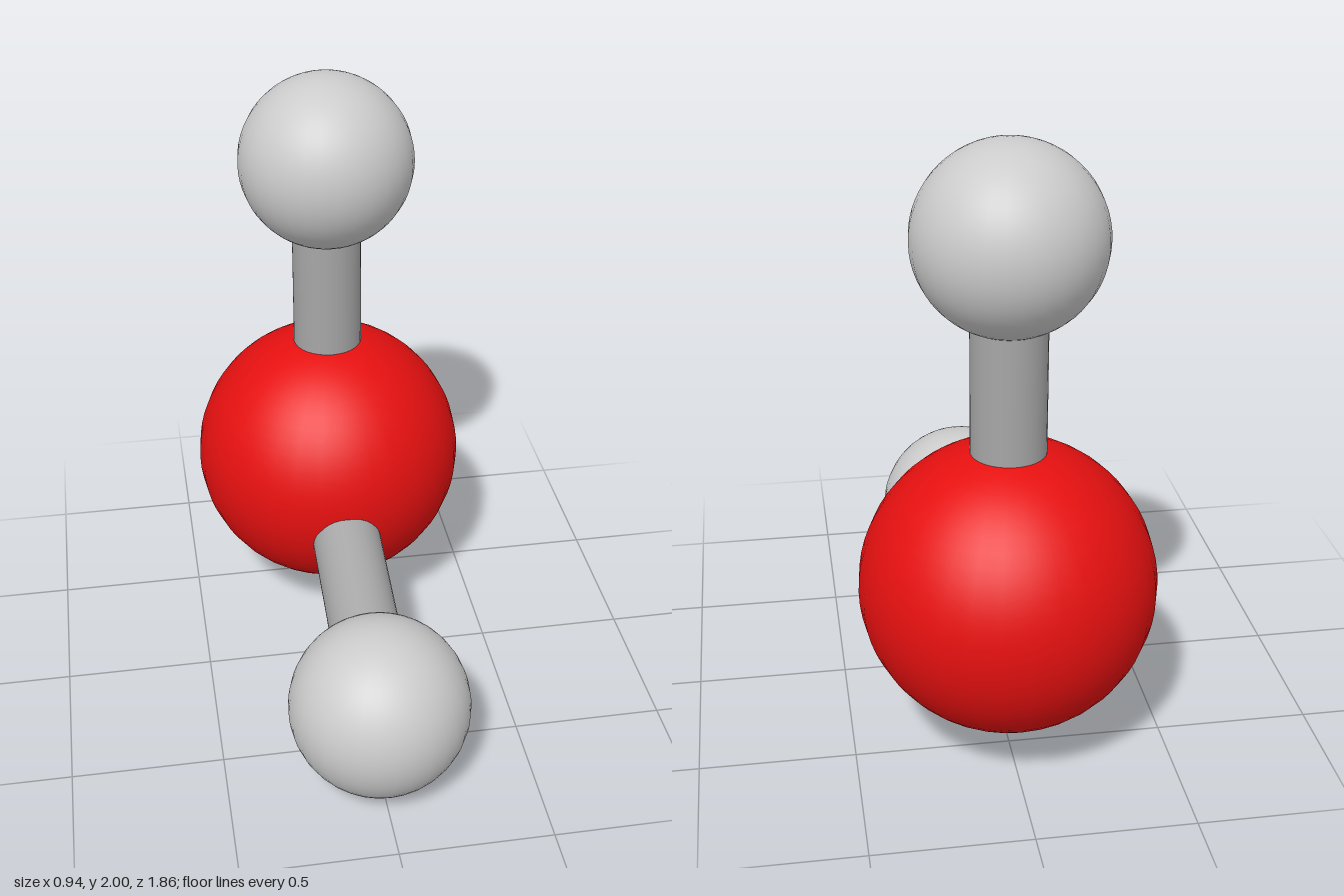
import * as THREE from 'three';

const BOND_LENGTH = 1.13;
const BOND_RADIUS = 0.118;
const BOND_ANGLE = THREE.MathUtils.degToRad(104.5);
const LARGE_RADIUS = 0.47;
const SMALL_RADIUS = 0.294;

function material(color) {
  return new THREE.MeshStandardMaterial({ color });
}

function atom(name, radius, position, mat) {
  const mesh = new THREE.Mesh(new THREE.SphereGeometry(radius, 32, 32), mat);
  mesh.name = name;
  mesh.position.copy(position);
  return mesh;
}

// Straight rod running between two atom centres
function bond(name, from, to, mat) {
  const direction = to.clone().sub(from);
  const geometry = new THREE.CylinderGeometry(BOND_RADIUS, BOND_RADIUS, direction.length(), 32);
  const mesh = new THREE.Mesh(geometry, mat);
  mesh.name = name;
  mesh.position.copy(from).lerp(to, 0.5);
  mesh.quaternion.setFromUnitVectors(new THREE.Vector3(0, 1, 0), direction.normalize());
  return mesh;
}

export function createModel() {
  const model = new THREE.Group();
  model.name = 'bentMolecule';

  const red = material(0xe61010);
  const lightGrey = material(0xcccccc);
  const darkGrey = material(0xa6a6a6);

  // Large central atom
  const centre = new THREE.Vector3(0, 0.577, -0.458);
  model.add(atom('centralAtom', LARGE_RADIUS, centre, red));

  // Two small atoms on rods: one straight up, one bent toward the front
  const arms = [['upper', 0], ['front', BOND_ANGLE]];
  for (const [name, angle] of arms) {
    const end = new THREE.Vector3(0, Math.cos(angle), Math.sin(angle))
      .multiplyScalar(BOND_LENGTH)
      .add(centre);
    model.add(bond(name + 'Bond', centre, end, darkGrey));
    model.add(atom(name + 'Atom', SMALL_RADIUS, end, lightGrey));
  }

  return model;
}
